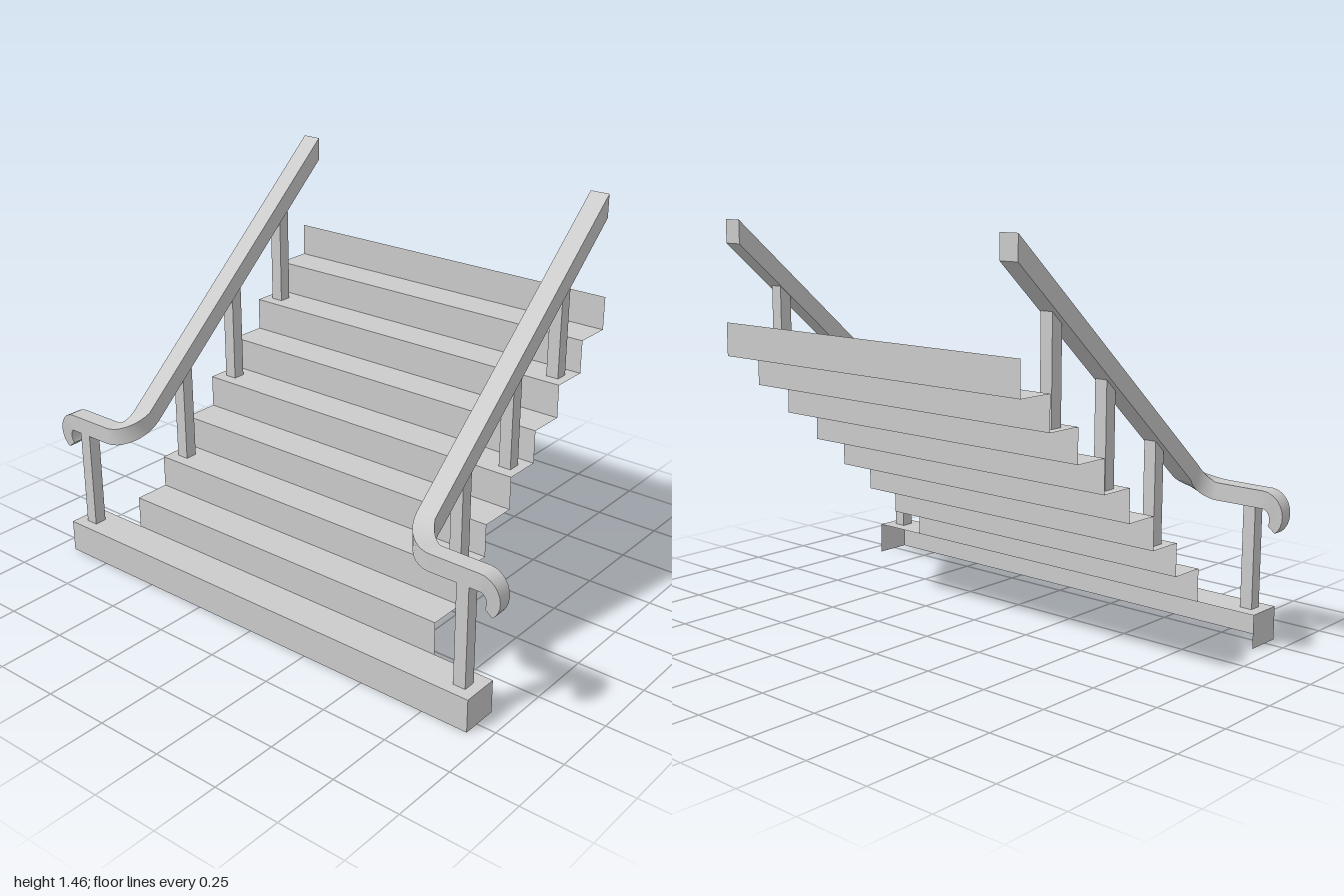
import * as THREE from 'three';

const solid = new THREE.MeshStandardMaterial({ color: 0xcccccc });
const sheet = new THREE.MeshStandardMaterial({ color: 0xcccccc, side: THREE.DoubleSide });

const RISE = 0.1218, RUN = 0.1392, WIDTH = 1.394, FIRST_Z = 0.418;
const RAIL_X = 0.648, BACK_Z = -0.556;
// height of the sloping rail's centre line
const railY = z => 1.4225 - 0.87 * (z - BACK_Z);

function add(parent, name, geometry, material, x, y, z) {
  const mesh = new THREE.Mesh(geometry, material);
  mesh.name = name;
  mesh.position.set(x, y, z);
  parent.add(mesh);
  return mesh;
}

const riser = (w, h) => new THREE.PlaneGeometry(w, h);
const tread = (w, d) => new THREE.PlaneGeometry(w, d).rotateX(-Math.PI / 2);

// Square-edged sweep: each station has a point p, yaw a of the side vector, width w, height h
function sweep(stations) {
  const pos = [], idx = [], ends = [], n = stations.length;
  stations.forEach((s, i) => {
    const t = stations[Math.min(i + 1, n - 1)].p.clone().sub(stations[Math.max(i - 1, 0)].p).normalize();
    const side = new THREE.Vector3(Math.cos(s.a), 0, -Math.sin(s.a));
    const up = t.clone().cross(side).normalize();
    if (i === 0) up.addScaledVector(t, -up.z / t.z); // plumb cut at the top end
    const corners = [[-1, -1], [1, -1], [1, 1], [-1, 1]].map(([u, v]) =>
      s.p.clone().addScaledVector(side, u * s.w / 2).addScaledVector(up, v * s.h / 2));
    if (i === 0 || i === n - 1) ends.push(corners);
    // two vertices per side keep the long edges sharp
    for (let k = 0; k < 4; k++) pos.push(...corners[k].toArray(), ...corners[(k + 1) % 4].toArray());
    if (i > 0) for (let k = 0; k < 4; k++) {
      const a = (i - 1) * 8 + k * 2, b = a + 8;
      idx.push(a, a + 1, b, a + 1, b + 1, b);
    }
  });
  ends.forEach((c, end) => {
    const o = pos.length / 3;
    c.forEach(v => pos.push(...v.toArray()));
    if (end === 0) idx.push(o, o + 2, o + 1, o, o + 3, o + 2);
    else idx.push(o, o + 1, o + 2, o, o + 2, o + 3);
  });
  const g = new THREE.BufferGeometry();
  g.setAttribute('position', new THREE.Float32BufferAttribute(pos, 3));
  g.setIndex(idx);
  g.computeVertexNormals();
  return g;
}

function handrailGeometry() {
  const st = [], R = 0.09, z0 = 0.395, flatY = 0.526, drop = railY(z0) - flatY;
  const put = (x, y, z, a, w, h) => st.push({ p: new THREE.Vector3(x, y, z), a, w, h });
  // straight slope
  for (const z of [BACK_Z, -0.2, 0.2, 0.36]) put(RAIL_X, railY(z), z, 0, 0.073, 0.064);
  // quarter turn outwards, levelling off
  for (let i = 0; i <= 10; i++) {
    const t = i / 10, a = t * Math.PI / 2;
    put(RAIL_X + R * (1 - Math.cos(a)), flatY + drop * (1 - t) ** 1.73, z0 + R * Math.sin(a),
      a, 0.073 - 0.008 * t, 0.064);
  }
  // level run and tapering curl
  put(0.83, flatY, z0 + R, Math.PI / 2, 0.065, 0.063);
  for (let i = 0; i <= 10; i++) {
    const t = i / 10, b = t * 2.45;
    put(0.925 + 0.05 * Math.sin(b), 0.468 + 0.058 * Math.cos(b), z0 + R,
      Math.PI / 2, 0.065 - 0.022 * t, 0.063 - 0.027 * t * t);
  }
  return sweep(st);
}

export function createModel() {
  const model = new THREE.Group();
  model.name = 'staircase';

  // wide bottom step, open at the back and underneath
  const base = new THREE.Group();
  base.name = 'bottomStep';
  model.add(base);
  const bw = 1.856, bz = FIRST_Z + RUN / 2;
  add(base, 'bottomRiser', riser(bw, RISE), sheet, 0, RISE / 2, FIRST_Z + RUN);
  add(base, 'bottomTread', tread(bw, RUN), sheet, 0, RISE, bz);
  for (const s of [-1, 1])
    add(base, 'bottomStepEnd', riser(RUN, RISE), sheet, s * bw / 2, RISE / 2, bz).rotation.y = s * Math.PI / 2;

  // thin folded flight of steps, ending in a riser
  const flight = new THREE.Group();
  flight.name = 'flight';
  model.add(flight);
  for (let i = 0; i < 8; i++) {
    const y = RISE * (i + 1), z = FIRST_Z - RUN * i;
    add(flight, 'riser', riser(WIDTH, RISE), sheet, 0, y + RISE / 2, z);
    if (i < 7) add(flight, 'tread', tread(WIDTH, RUN), sheet, 0, y + RISE, z - RUN / 2);
  }

  // handrails and posts, mirrored
  const rail = handrailGeometry();
  for (const s of [1, -1]) {
    const side = new THREE.Group();
    side.name = s > 0 ? 'leftBalustrade' : 'rightBalustrade';
    side.scale.x = s;
    model.add(side);
    add(side, 'handrail', rail, solid, 0, 0, 0);
    const post = (name, x, z, y0, y1) =>
      add(side, name, new THREE.BoxGeometry(0.047, y1 - y0, 0.047), solid, x, (y0 + y1) / 2, z);
    post('frontPost', 0.865, 0.492, RISE, 0.51);
    for (let i = 0; i < 3; i++) {
      const z = 0.21 - 2 * RUN * i;
      post('post', 0.64, z, RISE * (3 + 2 * i), railY(z) - 0.015);
    }
  }
  return model;
}
